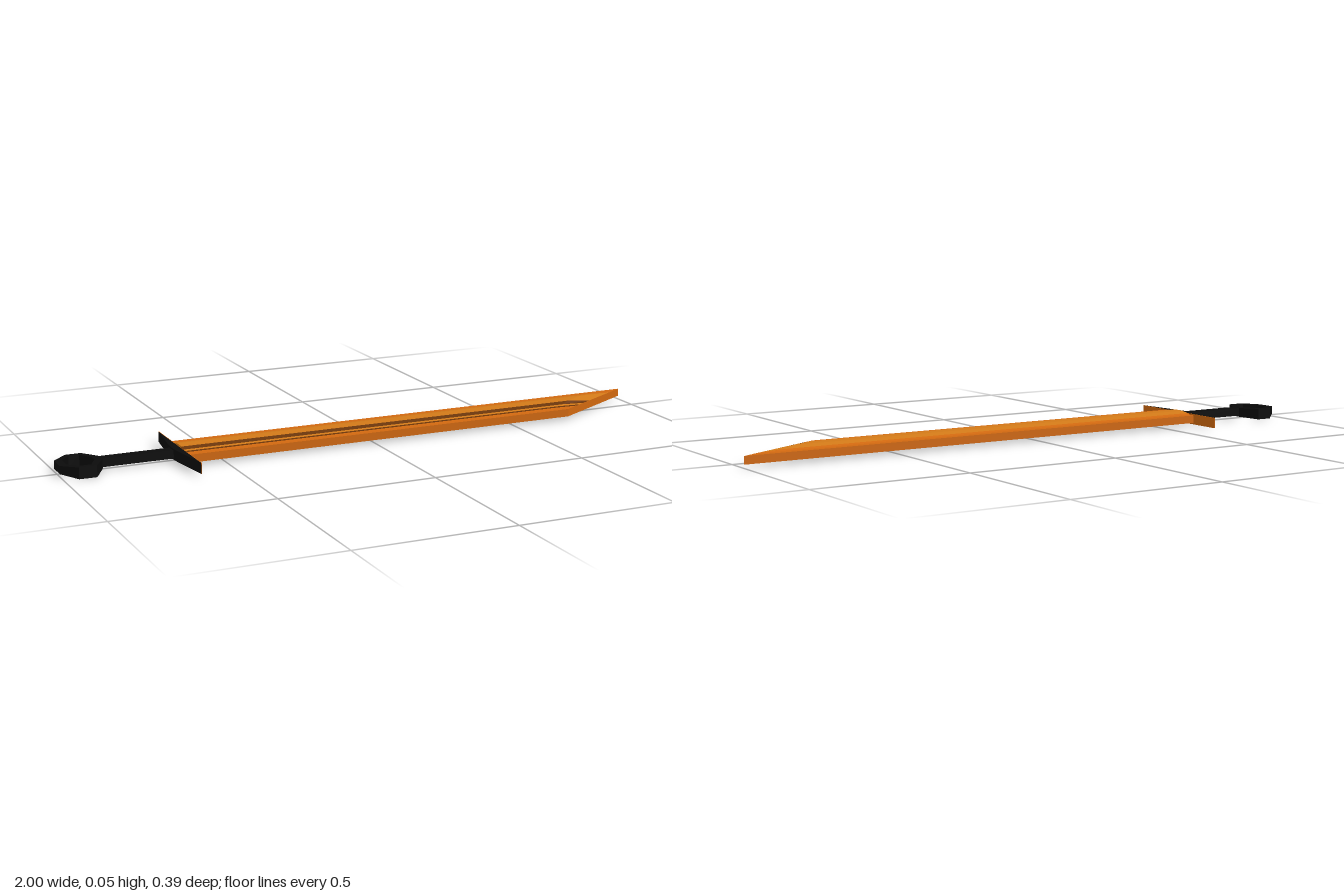
import * as THREE from 'three';

const material = (color) => new THREE.MeshStandardMaterial({ color, flatShading: true, side: THREE.DoubleSide });
const orange = material(0xd0680f);
const amber = material(0xd27a18);
const brown = material(0x6a3408);
const black = material(0x0b0b0b);

// Outline given as [x, z] corners, raised from y0 to y1
function slab(name, points, y0, y1, mat, hole) {
  const toVectors = (list) => list.map(([x, z]) => new THREE.Vector2(x, -z));
  const shape = new THREE.Shape(toVectors(points));
  if (hole) shape.holes.push(new THREE.Path(toVectors(hole)));
  const geometry = new THREE.ExtrudeGeometry(shape, { depth: y1 - y0, bevelEnabled: false });
  geometry.rotateX(-Math.PI / 2).translate(0, y0, 0);
  const mesh = new THREE.Mesh(geometry, mat);
  mesh.name = name;
  return mesh;
}

const bladeStart = -0.617;
const cutX = (z) => 0.85 - z * 1.765; // slanted tip edge

// One lengthwise facet of the raised ridge between two [z, y] rows
function ridgeFacet([zA, yA], [zB, yB], mat) {
  const base = 0.0372;
  const positions = [];
  const index = [];
  const stations = (z, y) => [[bladeStart, base], [bladeStart, y], [cutX(z) - 0.08, y], [cutX(z), base]];
  const rowA = stations(zA, yA);
  const rowB = stations(zB, yB);
  rowA.forEach(([x, y], i) => {
    positions.push(x, y, zA, rowB[i][0], rowB[i][1], zB);
    if (i > 0) {
      const a = 2 * (i - 1);
      index.push(a, a + 2, a + 3, a, a + 3, a + 1);
    }
  });
  const geometry = new THREE.BufferGeometry();
  geometry.setAttribute('position', new THREE.Float32BufferAttribute(positions, 3));
  geometry.setIndex(index);
  geometry.computeVertexNormals();
  const mesh = new THREE.Mesh(geometry, mat);
  mesh.name = 'ridgeFacet';
  return mesh;
}

export function createModel() {
  const sword = new THREE.Group();
  sword.name = 'sword';

  // Flat blade with slanted tip
  const blade = new THREE.Group();
  blade.name = 'blade';
  const edge = 0.085;
  blade.add(slab('bladeBody',
    [[bladeStart, edge], [cutX(edge), edge], [cutX(-edge), -edge], [bladeStart, -edge]],
    0.012, 0.037, orange));

  // Low ridge along the top, with a dark line near the front edge
  const rows = [[0.07, 0.0375], [0.058, 0.0385], [0.048, 0.0395], [0.036, 0.041],
    [0.018, 0.046], [-0.022, 0.046], [-0.05, 0.041], [-0.062, 0.0375]];
  const tones = [orange, brown, amber, brown, amber, amber, orange];
  tones.forEach((tone, i) => blade.add(ridgeFacet(rows[i], rows[i + 1], tone)));
  sword.add(blade);

  // Tapered crossguard with an orange face towards the blade
  sword.add(slab('guard',
    [[-0.618, 0.195], [-0.618, -0.195], [-0.64, -0.04], [-0.643, 0], [-0.64, 0.04]],
    0.007, 0.041, black));
  const face = new THREE.Mesh(new THREE.BoxGeometry(0.002, 0.034, 0.39), orange);
  face.name = 'guardFace';
  face.position.set(-0.617, 0.024, 0);
  sword.add(face);

  // Grip
  const grip = new THREE.Mesh(new THREE.BoxGeometry(0.245, 0.026, 0.034), black);
  grip.name = 'grip';
  grip.position.set(-0.755, 0.024, 0);
  sword.add(grip);

  // Eight-sided ring pommel, its sides dipping slightly
  const outer = [[-0.865, 0.018], [-0.9, 0.078], [-0.955, 0.078], [-1, 0.032],
    [-1, -0.03], [-0.955, -0.072], [-0.905, -0.072], [-0.865, -0.018]];
  const inner = [[-0.888, 0.012], [-0.912, 0.06], [-0.945, 0.06], [-0.977, 0.026],
    [-0.977, -0.024], [-0.948, -0.056], [-0.915, -0.056], [-0.888, -0.012]];
  const ring = slab('pommelRing', outer, 0.007, 0.037, black, inner);
  const p = ring.geometry.attributes.position;
  for (let i = 0; i < p.count; i++) {
    if (Math.abs(p.getZ(i)) > 0.05 && p.getY(i) < 0.02) p.setY(i, 0.001);
    else if (p.getX(i) < -0.96) p.setY(i, p.getY(i) > 0.02 ? 0.035 : 0.01);
  }
  ring.geometry.computeVertexNormals();
  sword.add(ring);

  return sword;
}
